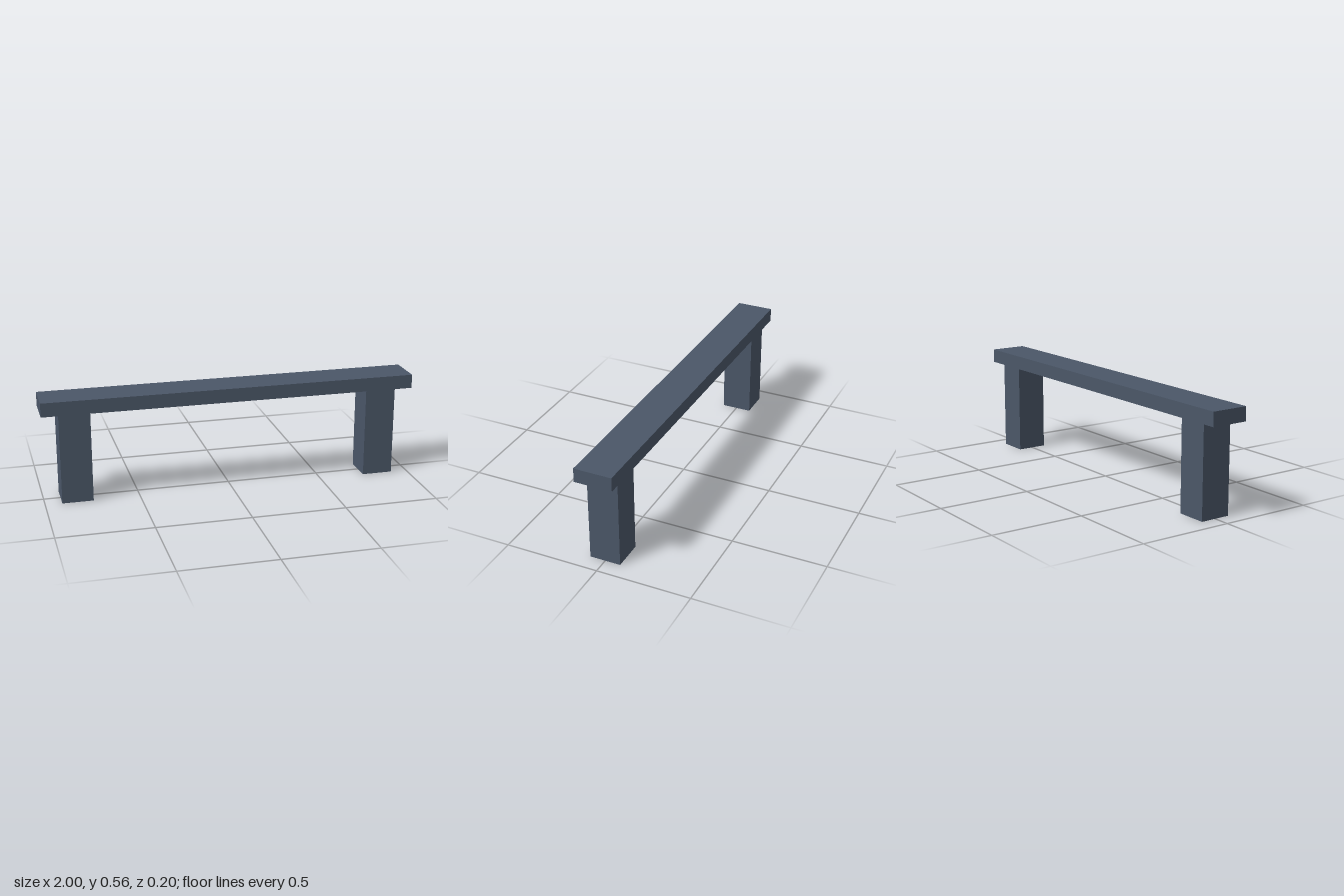
import * as THREE from 'three';

export function createModel() {
  const group = new THREE.Group();
  group.name = 'bench';
  const slate = new THREE.MeshStandardMaterial({ color: 0x4b5768 });
  slate.name = 'slate grey';

  const addBox = (name, w, h, d, x, y) => {
    const mesh = new THREE.Mesh(new THREE.BoxGeometry(w, h, d), slate);
    mesh.name = name;
    mesh.position.set(x, y + h / 2, 0);
    group.add(mesh);
  };

  // Long seat plank
  addBox('seat', 2, 0.074, 0.2, 0, 0.486);

  // Square legs, mirrored left and right
  for (const [name, side] of [['leftLeg', 1], ['rightLeg', -1]]) {
    addBox(name, 0.164, 0.486, 0.164, side * 0.829, 0);
  }
  return group;
}
